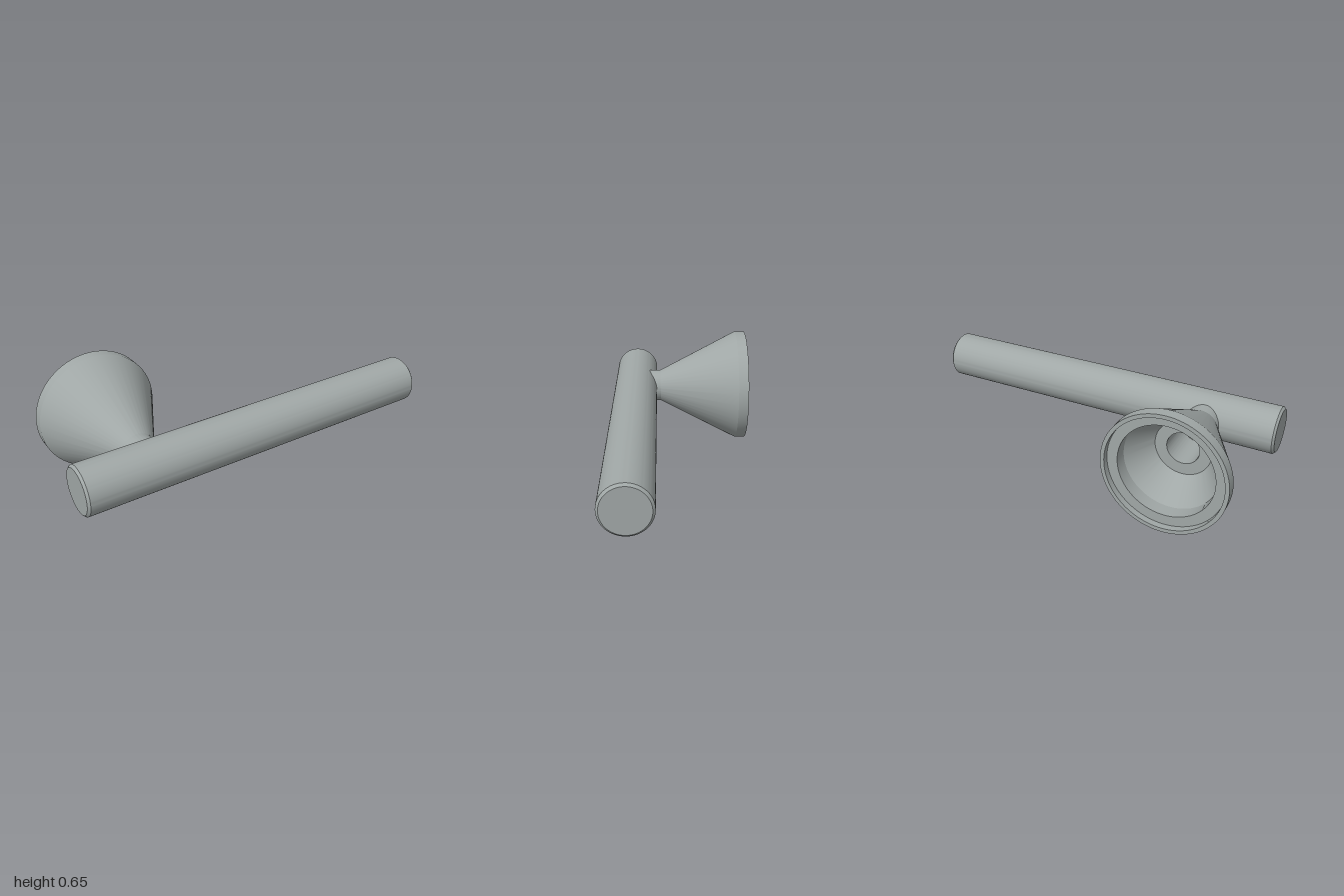
import * as THREE from 'three';
import { toCreasedNormals } from 'three/addons/utils/BufferGeometryUtils.js';

const metal = new THREE.MeshStandardMaterial({ color: 0xa0a7a6 });
metal.name = 'satin grey metal';

// Revolve [radius, height] points around y, keeping profile corners sharp
function turned(name, profile, segments) {
  const points = profile.map(([r, h]) => new THREE.Vector2(r, h));
  const geometry = toCreasedNormals(new THREE.LatheGeometry(points, segments), 0.3);
  const mesh = new THREE.Mesh(geometry, metal);
  mesh.name = name;
  return mesh;
}

export function createModel() {
  const group = new THREE.Group();
  group.name = 'leverHandle';

  // Straight round grip with chamfered ends, lying along x
  const grip = turned('grip', [
    [0, -1], [0.115, -1], [0.127, -0.988],
    [0.127, 0.988], [0.115, 1], [0, 1],
  ], 96);
  grip.rotation.z = -Math.PI / 2;
  grip.position.set(0, 0.328, 0.268);
  group.add(grip);

  // Hollow flared mount: stepped socket inside, cone and neck outside
  const mount = turned('flaredMount', [
    [0, 0.1], [0.087, 0.1], [0.087, -0.125],    // blind bore
    [0.15, -0.125], [0.25, -0.285],             // inner cone
    [0.25, -0.36], [0.305, -0.36],              // recessed ledge
    [0.305, -0.395], [0.326, -0.395],           // rim
    [0.326, -0.337], [0.094, 0.118],            // outer cone
    [0.094, 0.2], [0, 0.2],                     // neck sunk into the grip
  ], 96);
  mount.rotation.x = Math.PI / 2;
  mount.position.set(-0.615, 0.328, 0);
  group.add(mount);

  return group;
}
